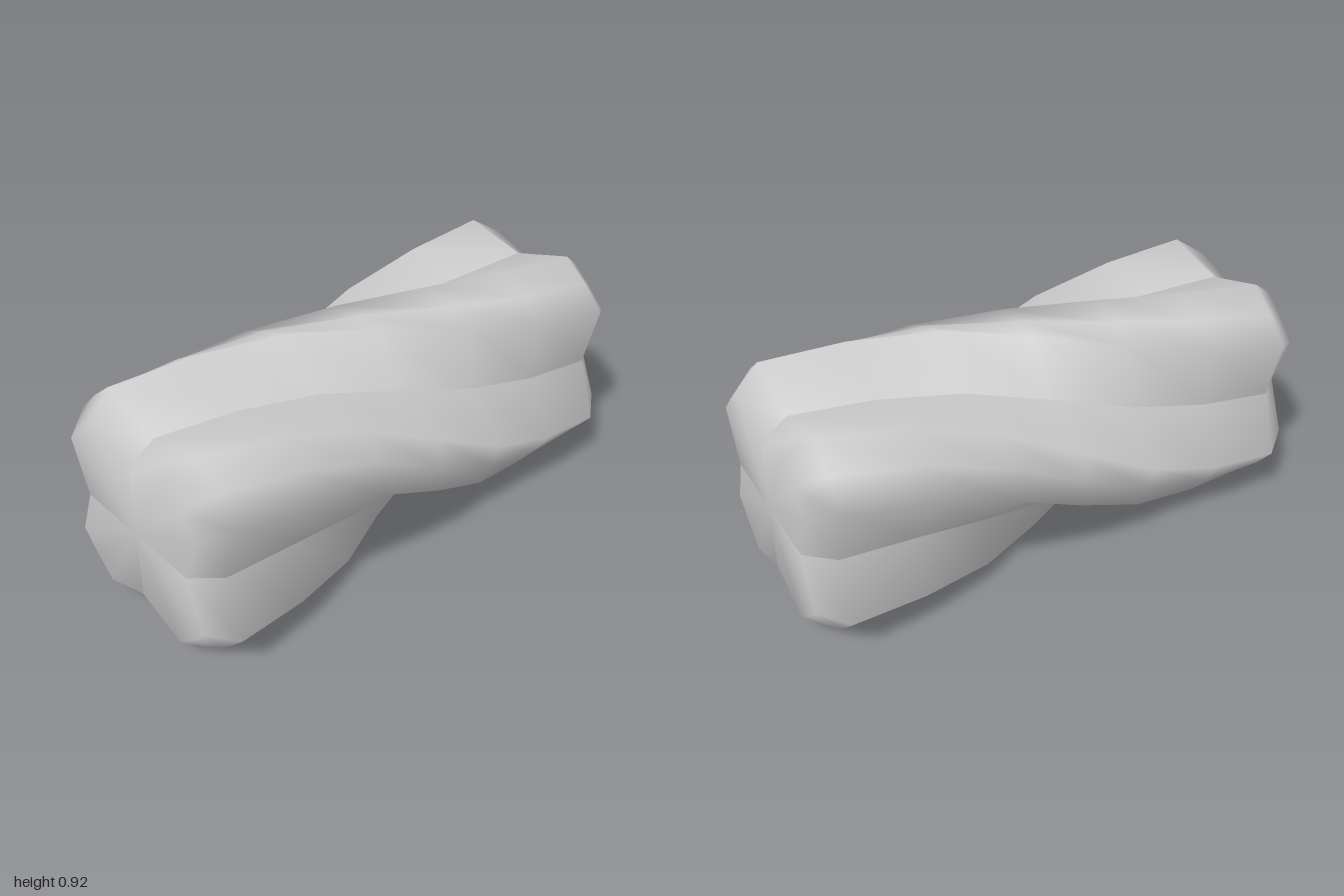
import * as THREE from 'three';

// Half of the sections along the length: z, twist in degrees, lobe scale, notch radius
const HALF = [
  [1, 1.5, 0.83, 0.275],
  [0.9, 2.4, 1, 0.355],
  [0.6, 10, 0.985, 0.345],
  [0.3, 23.5, 0.945, 0.33],
];
const SECTIONS = [
  ...HALF,
  [0, 45, 0.905, 0.32],
  ...HALF.map(([z, t, s, n]) => [-z, 90 - t, s, n]).reverse(),
];
// One lobe, from notch to notch: angle from its middle, radius (0 = notch)
const LOBE = [[-45, 0], [-15, 0.488], [0, 0.478], [15, 0.488], [45, 0]];
const CENTRE_Y = 0.46;

// A smooth strip running over both end caps; separate strips keep the notches sharp
function lobeGeometry(middle) {
  const positions = [], index = [];
  const capCentre = z => LOBE.forEach(() => positions.push(0, CENTRE_Y, z));
  capCentre(1);
  for (const [z, twist, scale, notch] of SECTIONS) {
    for (const [offset, radius] of LOBE) {
      const a = THREE.MathUtils.degToRad(middle + offset - twist);
      const r = radius ? radius * scale : notch;
      positions.push(r * Math.cos(a), CENTRE_Y + r * Math.sin(a), z);
    }
  }
  capCentre(-1);

  const n = LOBE.length, rows = SECTIONS.length + 2;
  for (let i = 0; i < rows - 1; i++) {
    for (let j = 0; j < n - 1; j++) {
      const a = i * n + j, b = a + 1, c = a + n, d = c + 1;
      if (i > 0) index.push(a, c, b);
      if (i < rows - 2) index.push(b, c, d);
      // The last row is a single point, already closed by the first triangle
    }
  }
  const geometry = new THREE.BufferGeometry();
  geometry.setAttribute('position', new THREE.Float32BufferAttribute(positions, 3));
  geometry.setIndex(index);
  geometry.computeVertexNormals();
  return geometry;
}

export function createModel() {
  const group = new THREE.Group();
  group.name = 'twistedBar';
  const material = new THREE.MeshStandardMaterial({ color: 0xcccccc });
  // Four equal lobes around the long axis
  for (let k = 0; k < 4; k++) {
    const lobe = new THREE.Mesh(lobeGeometry(45 + 90 * k), material);
    lobe.name = `twistedLobe${k + 1}`;
    group.add(lobe);
  }
  return group;
}
